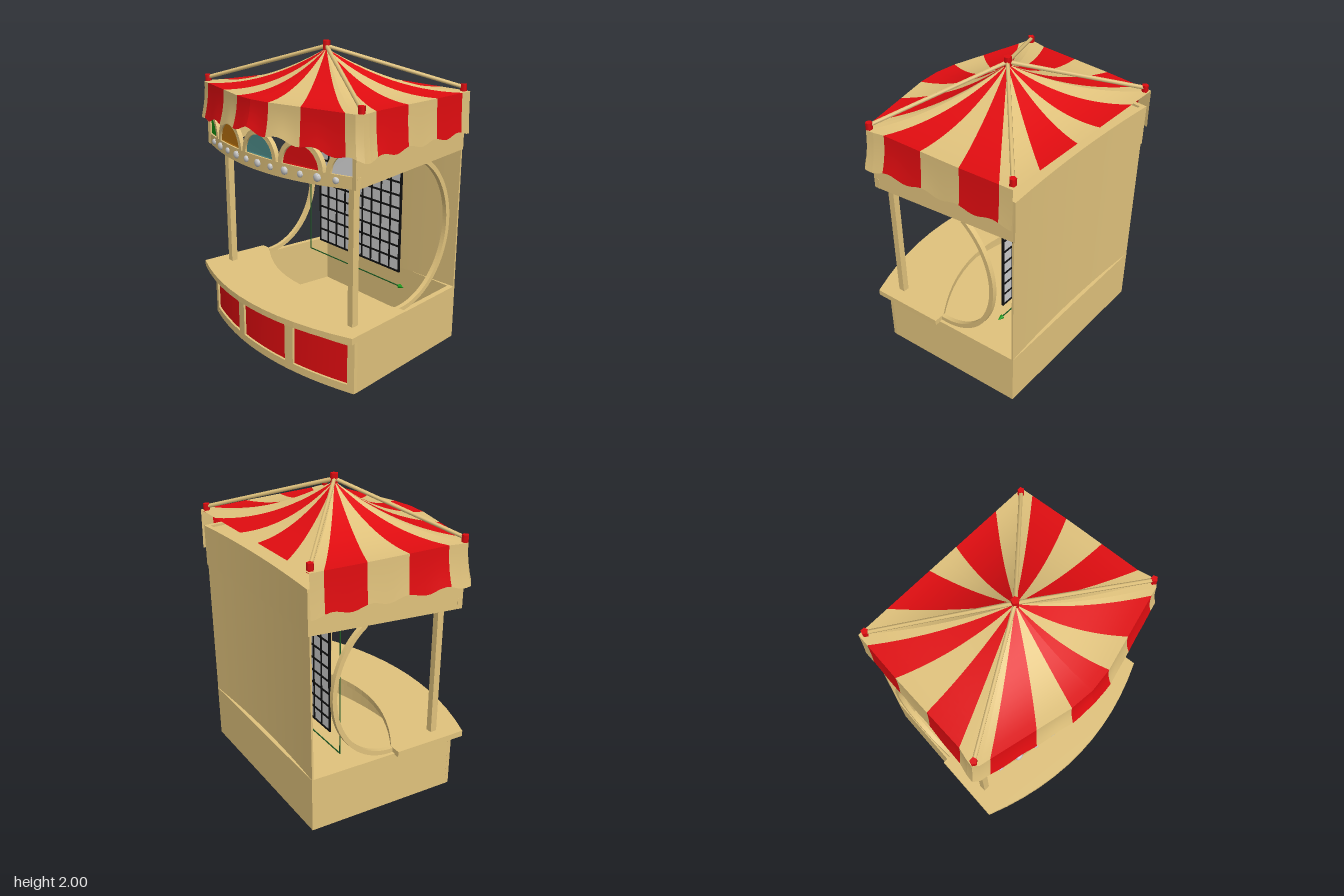
import * as THREE from 'three';
import { mergeGeometries } from 'three/addons/utils/BufferGeometryUtils.js';

const mat = (color) => new THREE.MeshStandardMaterial({ color, side: THREE.DoubleSide });
const WOOD = mat(0xe0c27c), RED = mat(0xe00c10), BLACK = mat(0x101010), GREY = mat(0xcccccc);
const ORANGE = mat(0xc0760f), TEAL = mat(0x4f8f8c), GREEN = mat(0x169a16), DARK_GREEN = mat(0x1d5a24);

// Plan of the booth: bowed front, sides narrowing to a slightly hollow back
const front = (x) => 0.40 + 0.13 * (1 - (x / 0.735) ** 2);
const halfWidth = (z) => 0.70 + 0.087 * z;
const hollow = (x) => 0.026 * (1 - (x / 0.648) ** 2);

export function createModel() {
  const model = new THREE.Group();
  const add = (name, geo, material = WOOD) => {
    const mesh = new THREE.Mesh(geo, material);
    mesh.name = name;
    model.add(mesh);
    return mesh;
  };
  const box = (w, h, d, x, y, z, seg = 1) => new THREE.BoxGeometry(w, h, d, seg).translate(x, y, z);

  // Move each vertex by a rule
  const warp = (geo, rule) => {
    const p = geo.attributes.position, v = new THREE.Vector3();
    for (let i = 0; i < p.count; i++) {
      rule(v.fromBufferAttribute(p, i));
      p.setXYZ(i, v.x, v.y, v.z);
    }
    geo.computeVertexNormals();
    return geo;
  };
  const bow = (geo) => warp(geo, (v) => { v.z += front(v.x); });
  const bowBack = (geo) => warp(geo, (v) => { v.z += hollow(v.x); });

  // Horizontal slab from plan points [x, z]
  const slab = (pts, y, h, hole) => {
    const vecs = (list) => list.map(([x, z]) => new THREE.Vector2(x, -z));
    const shape = new THREE.Shape(vecs(pts));
    if (hole) shape.holes.push(new THREE.Path(vecs(hole)));
    return new THREE.ExtrudeGeometry(shape, { depth: h, bevelEnabled: false })
      .rotateX(-Math.PI / 2).translate(0, y, 0);
  };
  const plan = (inset) => {
    const pts = [], w = halfWidth(0.4) - inset, b = halfWidth(-0.6) - inset;
    for (let i = 0; i <= 16; i++) {
      const x = -w + (2 * w * i) / 16;
      pts.push([x, front(x) - 0.02 - inset]);
    }
    return [...pts, [b, -0.605 + inset], [-b, -0.605 + inset]];
  };

  // Hollow base with a floor
  add('baseWalls', slab(plan(0), 0, 0.375, plan(0.035)));
  add('baseFloor', slab(plan(0.03), 0.001, 0.03));

  // Framed red panels on the bowed front
  for (const [x, w] of [[-0.49, 0.4], [0, 0.44], [0.49, 0.4]])
    add('frontPanel', bow(box(w, 0.27, 0.004, x, 0.18, -0.015, 8)), RED);
  add('bottomRail', bow(box(1.47, 0.052, 0.025, 0, 0.026, -0.01, 20)));
  add('topRail', bow(box(1.47, 0.06, 0.025, 0, 0.345, -0.01, 20)));
  for (const s of [-1, 1]) {
    add('cornerStile', bow(box(0.045, 0.375, 0.025, s * 0.7125, 0.1875, -0.01, 2)));
    add('innerStile', bow(box(0.07, 0.375, 0.025, s * 0.255, 0.1875, -0.01, 2)));
  }

  // Counter with bowed front and hollowed back
  const counter = [];
  for (let i = 0; i <= 12; i++) {
    const x = -0.775 + (1.55 * i) / 12;
    counter.push([x, 0.46 + 0.165 * (1 - (x / 0.775) ** 2)]);
  }
  counter.push([0.735, -0.03]);
  for (let i = 0; i <= 16; i++) {
    const x = 0.66 - (1.32 * i) / 16;
    counter.push([x, -0.03 + 0.24 * (1 - (x / 0.66) ** 2)]);
  }
  counter.push([-0.735, -0.03]);
  add('counter', slab(counter, 0.367, 0.04));

  // Hollow back wall, posts and curved side ribs
  add('backWall', bowBack(box(1.296, 0.97, 0.012, 0, 0.855, -0.598, 16)));
  add('leftPost', box(0.042, 0.95, 0.045, 0.655, 0.86, 0.345));
  add('rightPost', box(0.042, 0.95, 0.045, -0.655, 0.86, 0.3));
  const rib = new THREE.Shape();
  rib.absellipse(-0.025, 0.885, 0.45, 0.51, 1.5 * Math.PI, 0.67 * Math.PI, true);
  rib.absellipse(-0.025, 0.885, 0.42, 0.48, 0.67 * Math.PI, 1.5 * Math.PI, false);
  for (const x of [0.677, -0.647])
    add('sideRib', new THREE.ExtrudeGeometry(rib, { depth: 0.03, bevelEnabled: false, curveSegments: 28 })
      .rotateY(-Math.PI / 2).translate(x, 0, 0));

  // Square-celled game board with two thin axes
  const pitch = 0.0885, y0 = 0.483, mid = y0 + 4.5 * pitch;
  add('board', box(9 * pitch, 9 * pitch, 0.004, 0, mid, -0.317), GREY);
  const bars = [];
  for (let i = 0; i <= 9; i++) {
    bars.push(box(0.013, 9 * pitch + 0.013, 0.012, (i - 4.5) * pitch, mid, -0.317));
    bars.push(box(9 * pitch + 0.013, 0.013, 0.012, 0, y0 + i * pitch, -0.317));
  }
  add('boardGrid', mergeGeometries(bars), BLACK);
  add('verticalAxis', box(0.006, 0.93, 0.006, -0.513, 0.84, -0.317), DARK_GREEN);
  add('horizontalAxis', box(0.94, 0.006, 0.006, -0.043, 0.378, -0.317), DARK_GREEN);
  add('axisTip', new THREE.ConeGeometry(0.015, 0.045, 8).rotateZ(-Math.PI / 2)
    .translate(0.43, 0.378, -0.317), GREEN);

  // Fascia: tapering sides, hollow back, bowed front band and a ceiling
  const side = new THREE.Shape([[0.41, 1.275], [0.41, 1.60], [-0.605, 1.60], [-0.605, 1.325]]
    .map(([z, y]) => new THREE.Vector2(z, y)));
  for (const s of [-1, 1])
    add('sideFascia', warp(new THREE.ExtrudeGeometry(side, { depth: 0.03, bevelEnabled: false })
      .rotateY(-Math.PI / 2), (v) => { v.x = s * (halfWidth(v.z) + v.x); }));
  add('backFascia', bowBack(box(1.296, 0.275, 0.03, 0, 1.4625, -0.597, 16)));
  add('ceiling', slab(plan(0.028), 1.57, 0.015));
  add('innerBackStrip', box(1.22, 0.1, 0.01, 0, 1.4, -0.55), ORANGE);
  const sag = (x) => -0.02 * (1 - (x / 0.735) ** 2);
  add('frontBand', warp(bow(box(1.47, 0.07, 0.03, 0, 1.312, -0.015, 20)),
    (v) => { if (v.y < 1.3) v.y += sag(v.x); }));

  // Row of lamps on the band
  for (let i = -5; i <= 5; i++) {
    const x = i * 0.1215, r = i % 2 ? 0.02 : 0.025, y = 1.316 + sag(x) * 0.5;
    add('lamp', new THREE.SphereGeometry(r, 12, 8).scale(1, 1, 0.5).translate(x, y, front(x) + 0.006), GREY);
    add('lampSocket', new THREE.CylinderGeometry(r, r, 0.016, 12).rotateX(Math.PI / 2)
      .translate(x, y, front(x)), GREY);
  }

  // Coloured half-round panes with arched frames; the end ones are cut at the sides
  [GREEN, ORANGE, TEAL, RED, GREY].forEach((color, i) => {
    const cx = (i - 2) * 0.355;
    const from = i === 4 ? Math.PI / 2 : 0, to = i === 0 ? Math.PI / 2 : Math.PI;
    const pane = new THREE.Shape();
    pane.moveTo(0, 0);
    pane.lineTo(0.137 * Math.cos(from), 0.137 * Math.sin(from));
    pane.absarc(0, 0, 0.137, from, to, false);
    const arch = new THREE.Shape();
    arch.absarc(0, 0, 0.168, from, to, false);
    arch.absarc(0, 0, 0.137, to, from, true);
    const cut = (shape, depth, z) => bow(new THREE.ExtrudeGeometry(shape,
      { depth, bevelEnabled: false, curveSegments: 20 }).translate(cx, 1.343, z));
    add('archPane', cut(pane, 0.006, -0.018), color);
    add('archFrame', cut(arch, 0.03, -0.03));
  });

  // Half of the canopy edge [x, z], front centre to back centre; the stripes change at these points
  const edge = [[0, 0.575], [0.155, 0.56], [0.38, 0.505], [0.67, 0.435], [0.735, 0.42], [0.768, 0.39],
    [0.76, 0.34], [0.742, 0.27], [0.725, 0], [0.707, -0.27], [0.683, -0.53], [0.675, -0.615],
    [0.45, -0.615], [0.11, -0.615], [0, -0.615]];
  const redSteps = [0, 2, 7, 9, 12], sideStart = 5, sideEnd = 11;
  const apexZ = -0.02;
  const patch = (nu, nv, rule) =>
    warp(new THREE.PlaneGeometry(1, 1, nu, nv), (v) => rule(v, v.x + 0.5, 0.5 - v.y));
  // Stripes pinch towards the middle of each roof face, never at its corners
  const pinch = (q, t) => 1 - 0.35 * (1 - t) * (1 - Math.min(1, q));
  const roof = { red: [], plain: [] }, valance = { red: [], plain: [] };
  let run = 0;
  for (let i = 0; i < edge.length - 1; i++) {
    const [ax, az] = edge[i], [bx, bz] = edge[i + 1];
    const len = Math.hypot(bx - ax, bz - az), start = run;
    const key = redSteps.includes(i) ? 'red' : 'plain';
    const onSide = i >= sideStart && i < sideEnd;
    for (const s of [-1, 1]) {
      roof[key].push(patch(6, 14, (v, u, t) => {
        const x = ax + (bx - ax) * u, dz = az + (bz - az) * u - apexZ;
        const kx = onSide ? 1 : pinch(x / (dz > 0 ? 0.768 : 0.675), t);
        const kz = onSide ? pinch(dz > 0 ? dz / 0.41 : -dz / 0.595, t) : 1;
        v.set(s * x * t * kx, 1.70 + 0.25 * (1 - t) ** 2, apexZ + dz * t * kz);
      }));
      // Flared cloth with a wavy hem on the front and sides
      if (i < sideEnd) valance[key].push(patch(8, 6, (v, u, t) => {
        const x = ax + (bx - ax) * u, z = az + (bz - az) * u;
        const rise = z > 0.38 ? 0.08 * Math.max(0, 1 - x / 0.768) : 0;
        const hem = 1.447 + rise + 0.013 * Math.cos((start + len * u) * 2 * Math.PI / 0.24);
        const flare = (0.012 + 0.023 * THREE.MathUtils.smoothstep(z, -0.1, 0.36)) * t * t;
        const k = 1 + flare / Math.hypot(x, z);
        v.set(s * x * k, 1.70 + (hem - 1.70) * t, z > 0 ? z * k : z);
      }));
    }
    run += len;
  }
  add('roofRedStripes', mergeGeometries(roof.red), RED);
  add('roofPlainStripes', mergeGeometries(roof.plain));
  add('valanceRedStripes', mergeGeometries(valance.red), RED);
  add('valancePlainStripes', mergeGeometries(valance.plain));

  // Straight canopy poles with red end caps
  const cap = (name, r, h, x, y, z) =>
    add(name, new THREE.CylinderGeometry(r, r, h, 5).translate(x, y, z), RED);
  cap('apexCap', 0.026, 0.06, 0, 1.97, apexZ);
  for (const [x, z] of [[0.745, 0.385], [-0.745, 0.385], [0.642, -0.588], [-0.642, -0.588]]) {
    cap('cornerCap', 0.022, 0.055, x, 1.717, z);
    const a = new THREE.Vector3(x, 1.725, z), b = new THREE.Vector3(0, 1.965, apexZ);
    const pole = add('canopyPole', new THREE.CylinderGeometry(0.013, 0.013, a.distanceTo(b), 6));
    pole.position.lerpVectors(a, b, 0.5);
    pole.quaternion.setFromUnitVectors(new THREE.Vector3(0, 1, 0), b.clone().sub(a).normalize());
  }
  return model;
}
